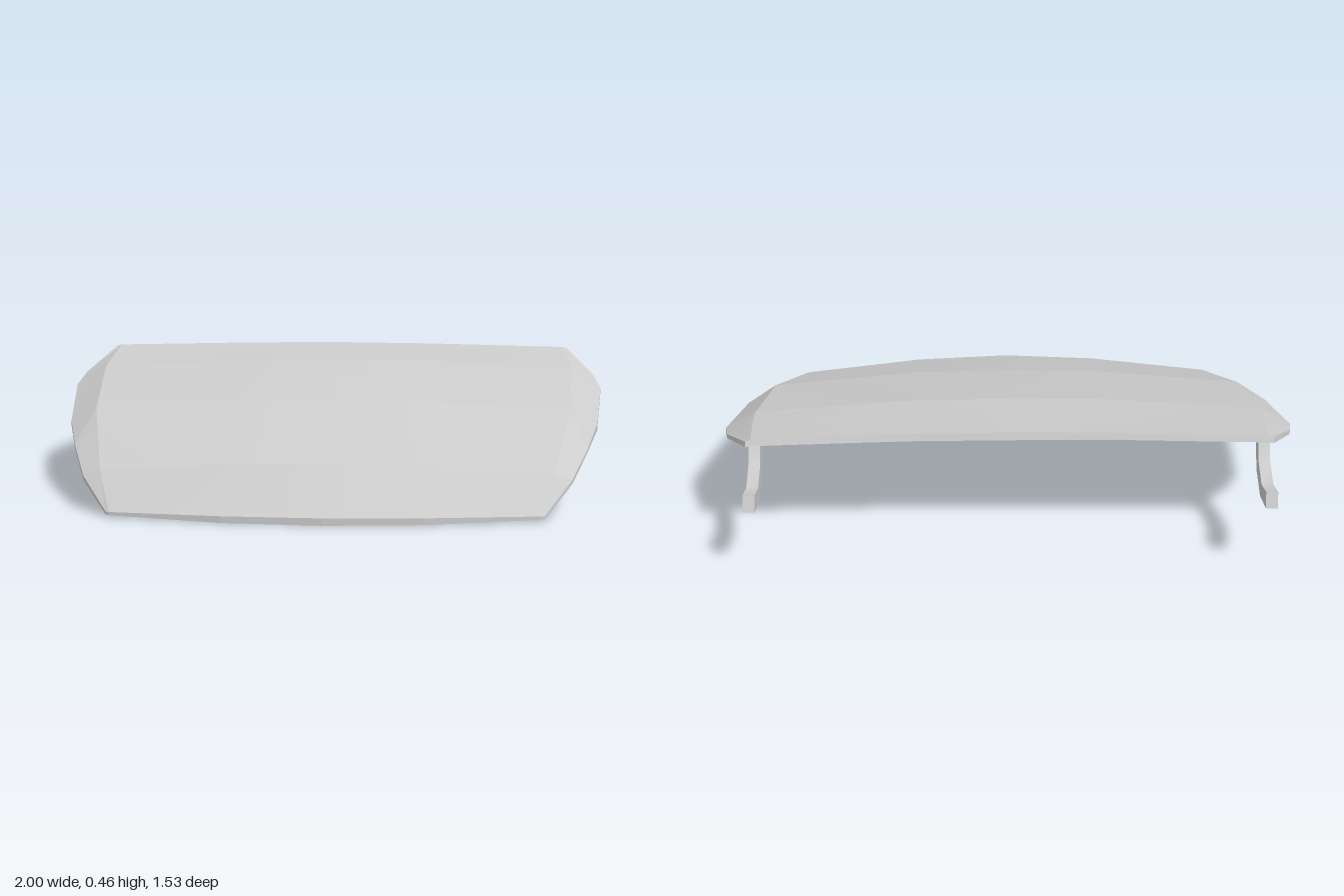
import * as THREE from 'three';
import { toCreasedNormals } from 'three/addons/utils/BufferGeometryUtils.js';

// Cross-sections from front lip to rear edge: centre, mid, shoulder and outer edge
// as [x, top y, z, underside y]
const sections = [
  [[0, 0.025, 0.765, 0], [0.34, 0.024, 0.742, 0.001], [0.73, 0.018, 0.663, 0.007], [0.74, 0.017, 0.657, 0.007]],
  [[0, 0.176, 0.592, 0.09], [0.34, 0.17, 0.572, 0.089], [0.78, 0.137, 0.53, 0.099], [0.84, 0.115, 0.52, 0.1]],
  [[0, 0.259, 0.36, 0.207], [0.34, 0.254, 0.345, 0.206], [0.82, 0.216, 0.32, 0.178], [0.91, 0.185, 0.29, 0.172]],
  [[0, 0.333, 0.15, 0.313], [0.34, 0.328, 0.145, 0.308], [0.86, 0.292, 0.12, 0.232], [0.96, 0.239, 0.08, 0.216]],
  [[0, 0.427, -0.26, 0.404], [0.34, 0.423, -0.262, 0.4], [0.89, 0.391, -0.28, 0.32], [1.0, 0.322, -0.27, 0.303]],
  [[0, 0.437, -0.37, 0.412], [0.34, 0.433, -0.372, 0.409], [0.888, 0.407, -0.385, 0.353], [0.98, 0.358, -0.38, 0.342]],
  [[0, 0.456, -0.562, 0.43], [0.34, 0.453, -0.564, 0.43], [0.875, 0.44, -0.576, 0.422], [0.892, 0.437, -0.578, 0.42]],
];

// Thin closed panel: top skin, underside and a rim between them
function panelGeometry() {
  const rows = sections.map((s) => [
    ...s.slice(1).reverse().map(([x, ...rest]) => [-x, ...rest]),
    ...s,
  ]);
  const R = rows.length;
  const C = rows[0].length;
  const positions = [];
  const index = [];
  rows.forEach((row) => row.forEach(([x, y, z]) => positions.push(x, y, z)));
  // The underside reaches slightly further back along the rear edge
  rows.forEach((row, i) => row.forEach(([x, , z, y]) => {
    positions.push(x, y, i === R - 1 ? z - 0.008 : z);
  }));
  const quad = (a, b, c, d) => index.push(a, b, c, a, c, d);
  const id = (i, j) => i * C + j;
  const under = R * C;
  for (let i = 0; i < R - 1; i++) {
    for (let j = 0; j < C - 1; j++) {
      const corners = [id(i, j), id(i, j + 1), id(i + 1, j + 1), id(i + 1, j)];
      // Diagonals mirror about the centre line
      if (j >= (C - 1) / 2) corners.push(corners.shift());
      const [a, b, c, d] = corners;
      quad(a, b, c, d);
      quad(c + under, b + under, a + under, d + under);
    }
  }
  // Walk the border counter-clockwise as seen from above
  const border = [];
  for (let j = 0; j < C - 1; j++) border.push(id(0, j));
  for (let i = 0; i < R - 1; i++) border.push(id(i, C - 1));
  for (let j = C - 1; j > 0; j--) border.push(id(R - 1, j));
  for (let i = R - 1; i > 0; i--) border.push(id(i, 0));
  border.forEach((p, k) => {
    const q = border[(k + 1) % border.length];
    quad(p, p + under, q + under, q);
  });
  const geo = new THREE.BufferGeometry();
  geo.setAttribute('position', new THREE.Float32BufferAttribute(positions, 3));
  geo.setIndex(index);
  // Soft across the width, sharp at the bends from front to rear
  return toCreasedNormals(geo, 0.12);
}

// Cranked hinge arm, outlined from the side as [z, y] and extruded across x
function hingeGeometry(width) {
  const outline = [
    [-0.45, 0.38], [-0.52, 0.28], [-0.63, 0.24], [-0.768, 0.272],
    [-0.748, 0.325], [-0.645, 0.294], [-0.55, 0.33], [-0.505, 0.405],
  ];
  const shape = new THREE.Shape(outline.map(([z, y]) => new THREE.Vector2(-z, y)));
  const geo = new THREE.ExtrudeGeometry(shape, { depth: width, bevelEnabled: false });
  geo.translate(0, 0, -width / 2);
  geo.rotateY(Math.PI / 2);
  return toCreasedNormals(geo, 0.9);
}

export function createModel() {
  const group = new THREE.Group();
  group.name = 'hood';
  const material = new THREE.MeshStandardMaterial({ color: 0xcccccc });

  const panel = new THREE.Mesh(panelGeometry(), material);
  panel.name = 'hoodPanel';
  group.add(panel);

  // One hinge arm under each rear corner
  const hinge = hingeGeometry(0.04);
  for (const side of [1, -1]) {
    const arm = new THREE.Mesh(hinge, material);
    arm.name = side > 0 ? 'leftHinge' : 'rightHinge';
    arm.position.x = side * 0.87;
    group.add(arm);
  }
  return group;
}
